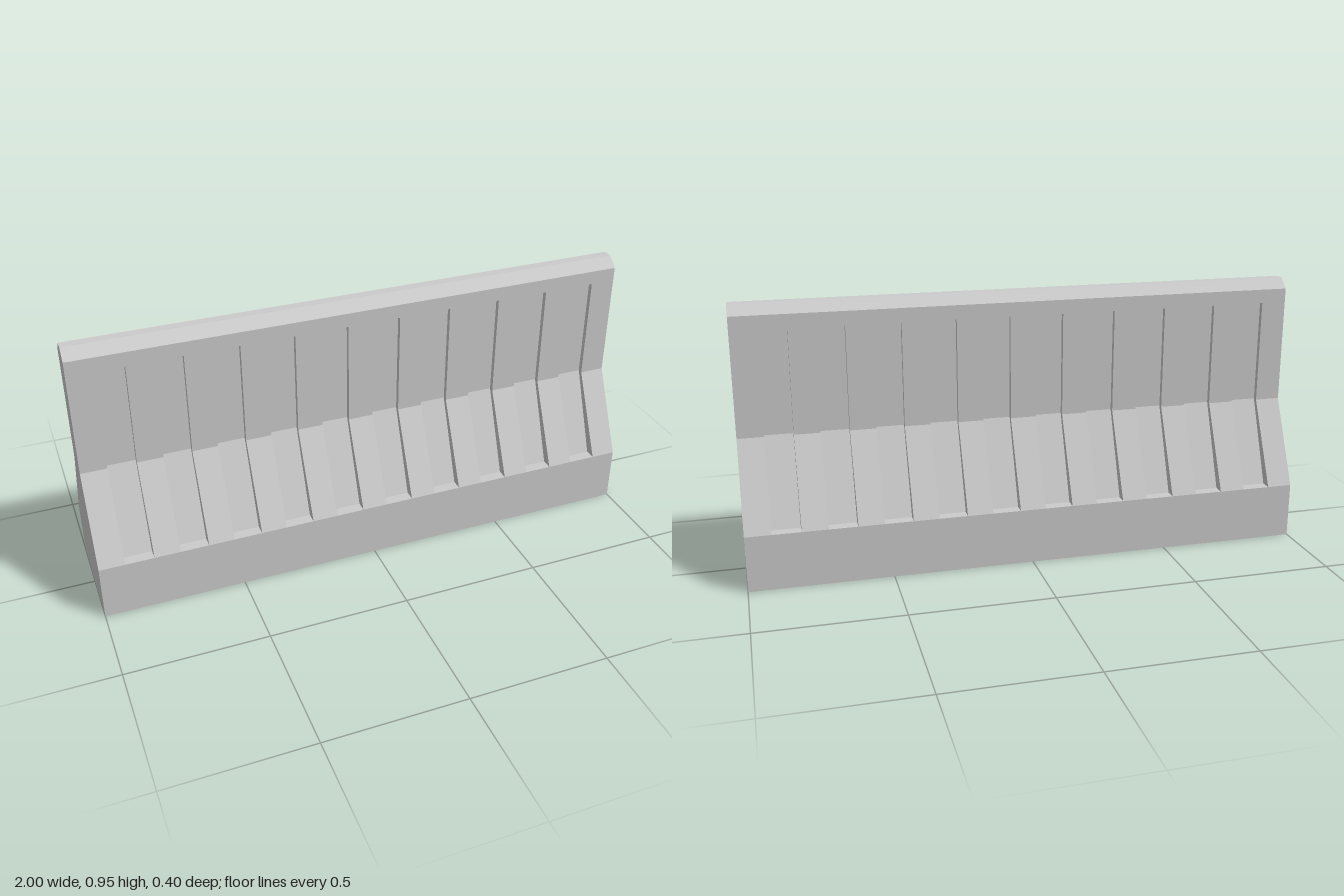
import * as THREE from 'three';
import { mergeGeometries } from 'three/addons/utils/BufferGeometryUtils.js';

const COUNT = 10, PITCH = 0.191, HALF = 0.05; // recess row
const TOP = [0.018, 0.955];

// Side profiles as [z, y], from the ground to the crest
const plain = [[0.2, 0], [0.2, 0.2], [0.055, 0.5], [0.055, 0.92], TOP];
const recessed = [[0.2, 0], [0.2, 0.2], [0.16, 0.2], [0.037, 0.5], [0.037, 0.87],
  [0.055, 0.87], [0.055, 0.92], TOP];
const cheek = [[0.2, 0.2], [0.055, 0.5], [0.055, 0.87], [0.037, 0.87], [0.037, 0.5], [0.16, 0.2]];

// Flat-faceted strip that sweeps a profile from x0 to x1
function ribbon(profile, x0, x1) {
  const pos = [];
  for (let i = 0; i + 1 < profile.length; i++) {
    const [za, ya] = profile[i], [zb, yb] = profile[i + 1];
    pos.push(x0, ya, za, x1, ya, za, x1, yb, zb, x0, ya, za, x1, yb, zb, x0, yb, zb);
  }
  const g = new THREE.BufferGeometry();
  g.setAttribute('position', new THREE.Float32BufferAttribute(pos, 3));
  g.computeVertexNormals();
  return g;
}

// Flat panel across the x axis, facing +x (dir 1) or -x (dir -1)
function panel(points, x, dir) {
  const shape = new THREE.Shape(points.map(([z, y]) => new THREE.Vector2(-dir * z, y)));
  const g = new THREE.ShapeGeometry(shape).toNonIndexed();
  g.deleteAttribute('uv');
  return g.rotateY(dir * Math.PI / 2).translate(x, 0, 0);
}

export function createModel() {
  const group = new THREE.Group();
  group.name = 'concreteBarrier';
  const material = new THREE.MeshStandardMaterial({
    color: 0xcccccc, flatShading: true, side: THREE.DoubleSide,
  });
  const add = (name, geometry) => {
    const mesh = new THREE.Mesh(geometry, material);
    mesh.name = name;
    group.add(mesh);
    return mesh;
  };

  // Long face: plain ribs alternating with recesses
  const ribs = [], recesses = [];
  let x = -1;
  for (let i = 0; i < COUNT; i++) {
    const c = (i - (COUNT - 1) / 2) * PITCH;
    const x0 = c - HALF, x1 = c + HALF;
    ribs.push(ribbon(plain, x, x0));
    recesses.push(ribbon(recessed, x0, x1), panel(cheek, x0, 1), panel(cheek, x1, -1));
    x = x1;
  }
  ribs.push(ribbon(plain, x, 1));
  const ribGeometry = mergeGeometries(ribs);
  const recessGeometry = mergeGeometries(recesses);

  // The back is the front turned half way round
  ['front', 'back'].forEach((side, i) => {
    add(side + 'Wall', ribGeometry).rotation.y = i * Math.PI;
    add(side + 'Recesses', recessGeometry).rotation.y = i * Math.PI;
  });

  // Crest and end walls; the underside stays open
  add('crest', ribbon([TOP, [-TOP[0], TOP[1]]], -1, 1));
  const section = [...plain, ...plain.map(([z, y]) => [-z, y]).reverse()];
  add('leftEnd', panel(section, 1, 1));
  add('rightEnd', panel(section, -1, -1));
  return group;
}
